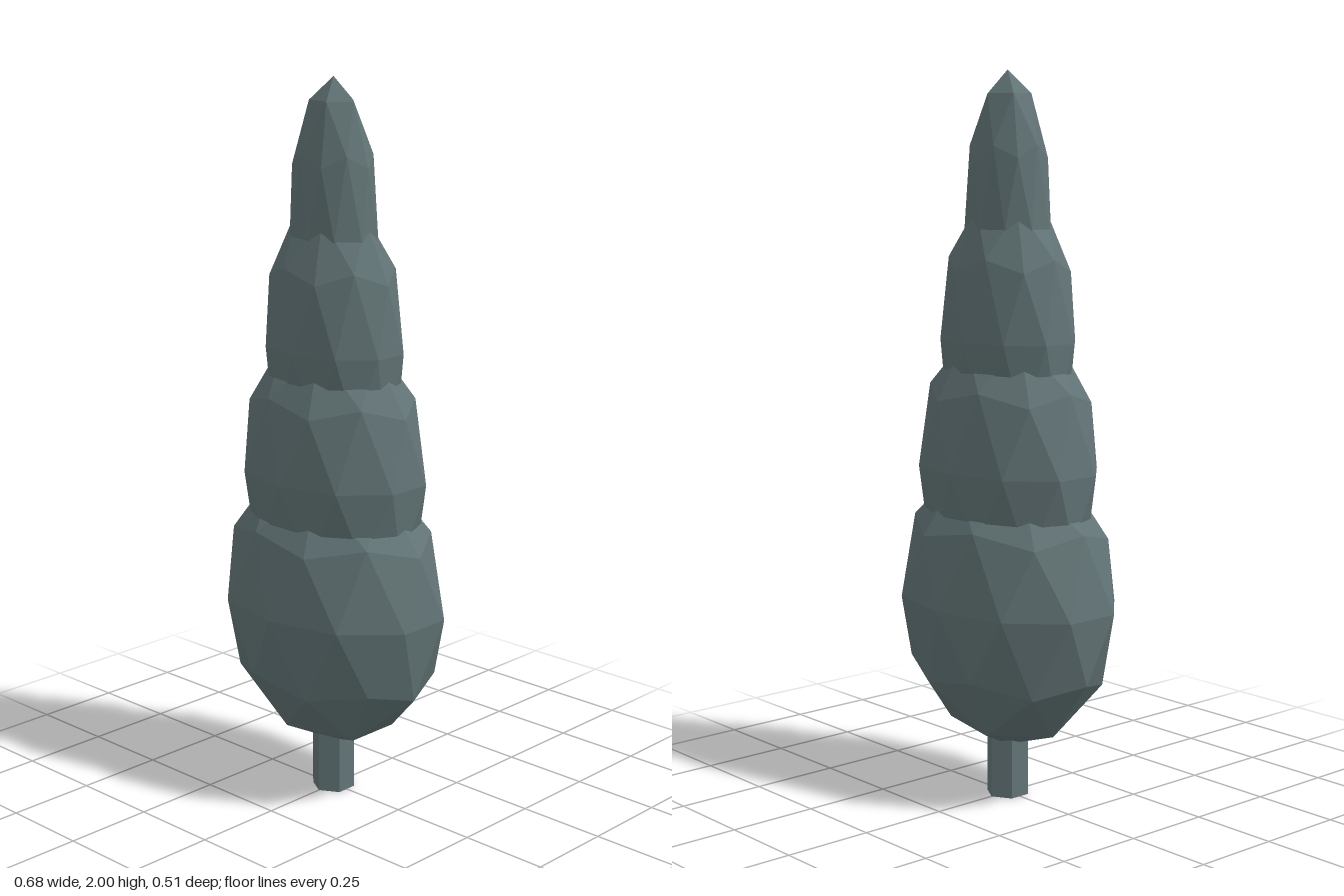
import * as THREE from 'three';

export function createModel() {
  const tree = new THREE.Group();
  tree.name = 'tree';

  const greyGreen = new THREE.MeshStandardMaterial({ color: 0x627476, flatShading: true });
  greyGreen.name = 'grey green';

  // Faceted ball with a corner pointing straight up
  const ball = new THREE.IcosahedronGeometry(1, 1);
  ball.rotateZ(-Math.atan(2 / (1 + Math.sqrt(5))));

  // Foliage tiers, bottom to top: [name, centre height, x radius, z radius]
  const tiers = [
    ['bottomFoliage', 0.56, 0.357, 0.257],
    ['lowerFoliage', 0.93, 0.295, 0.213],
    ['upperFoliage', 1.28, 0.221, 0.16],
    ['topFoliage', 1.58, 0.14, 0.102],
  ];
  for (const [name, y, rx, rz] of tiers) {
    const geometry = ball.clone().scale(rx, 0.42, rz).translate(0, y, 0);
    geometry.computeVertexNormals();
    const tier = new THREE.Mesh(geometry, greyGreen);
    tier.name = name;
    tree.add(tier);
  }

  // Six-sided trunk
  const trunk = new THREE.Mesh(new THREE.CylinderGeometry(0.06, 0.06, 0.3, 6), greyGreen);
  trunk.name = 'trunk';
  trunk.position.y = 0.15;
  tree.add(trunk);

  return tree;
}
